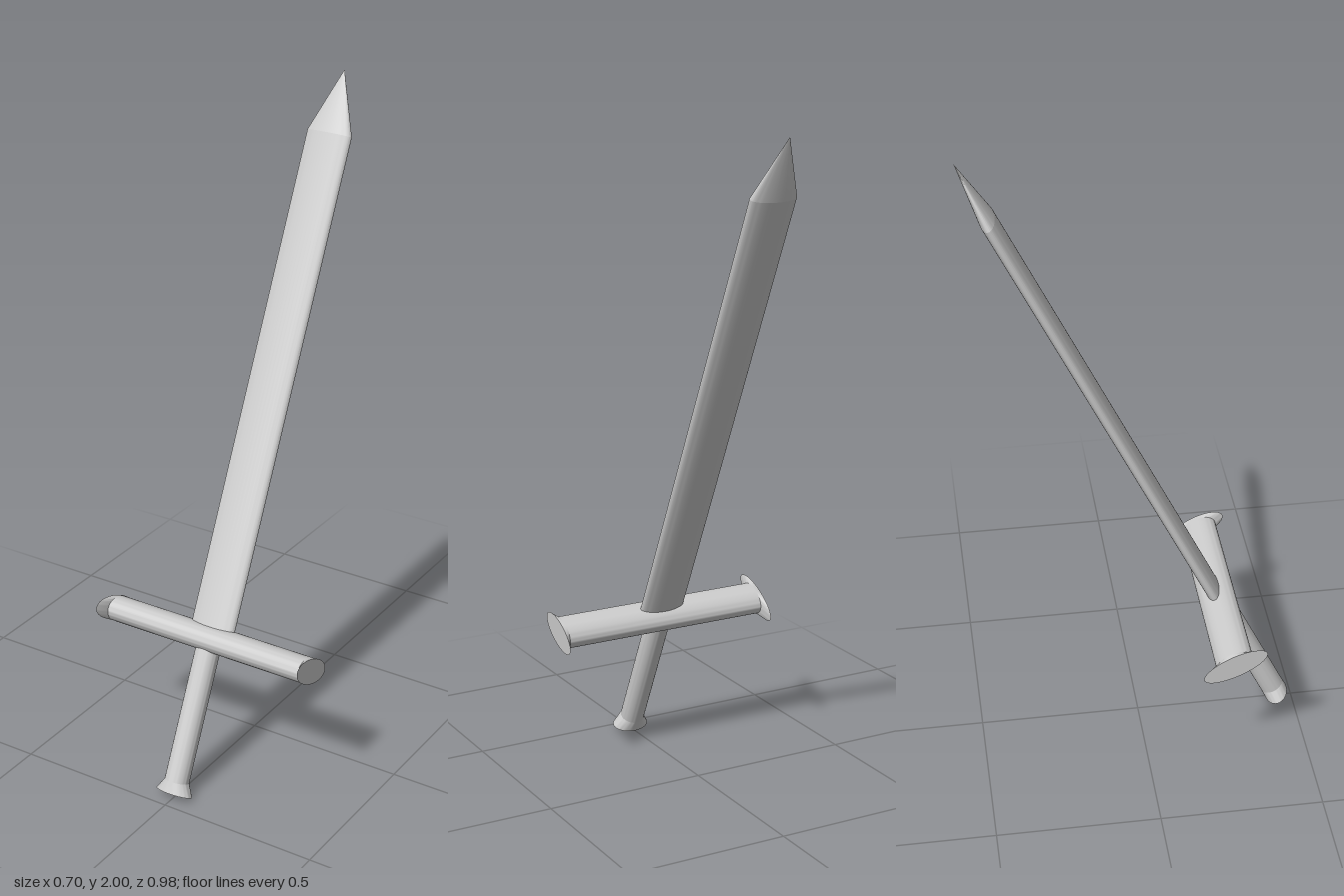
import * as THREE from 'three';
import { toCreasedNormals } from 'three/addons/utils/BufferGeometryUtils.js';

const steel = new THREE.MeshStandardMaterial({ color: 0xcccccc });
steel.name = 'plain steel grey';

// Elliptical frustum between two stations, each given as [y, radiusX, radiusZ]
function frustum(name, bottom, top) {
  const geo = new THREE.CylinderGeometry(top[1] ? 1 : 0, 1, 1, 40);
  const pos = geo.attributes.position;
  for (let i = 0; i < pos.count; i++) {
    const [y, rx, rz] = pos.getY(i) > 0 ? top : bottom;
    pos.setXYZ(i, pos.getX(i) * rx, y, pos.getZ(i) * rz);
  }
  const mesh = new THREE.Mesh(toCreasedNormals(geo, 0.6), steel);
  mesh.name = name;
  return mesh;
}

export function createModel() {
  const model = new THREE.Group();
  model.name = 'sword';

  // The whole sword leans back; the guard's centre is the local origin
  const sword = new THREE.Group();
  sword.name = 'leaningSword';
  sword.position.set(0, 0.448, 0.246);
  sword.rotation.x = -0.445;
  model.add(sword);

  // Flat oval blade and its pointed tip
  sword.add(frustum('blade', [0, 0.074, 0.0235], [1.53, 0.074, 0.0235]));
  sword.add(frustum('bladeTip', [1.53, 0.074, 0.0235], [1.72, 0, 0]));

  // Round grip with a pommel that flares sideways only
  sword.add(frustum('grip', [-0.44, 0.0375, 0.0375], [0, 0.0375, 0.0375]));
  sword.add(frustum('pommel', [-0.476, 0.059, 0.038], [-0.44, 0.0375, 0.0375]));

  // Crossguard lying along x, with flared ends of slightly different depth
  const guard = new THREE.Group();
  guard.name = 'crossguard';
  guard.rotation.z = -Math.PI / 2;
  guard.add(frustum('guardBar', [-0.335, 0.0395, 0.058], [0.335, 0.0395, 0.058]));
  guard.add(frustum('rightGuardEnd', [-0.348, 0.038, 0.104], [-0.335, 0.0395, 0.058]));
  guard.add(frustum('leftGuardEnd', [0.335, 0.0395, 0.058], [0.348, 0.039, 0.088]));
  sword.add(guard);

  return model;
}
